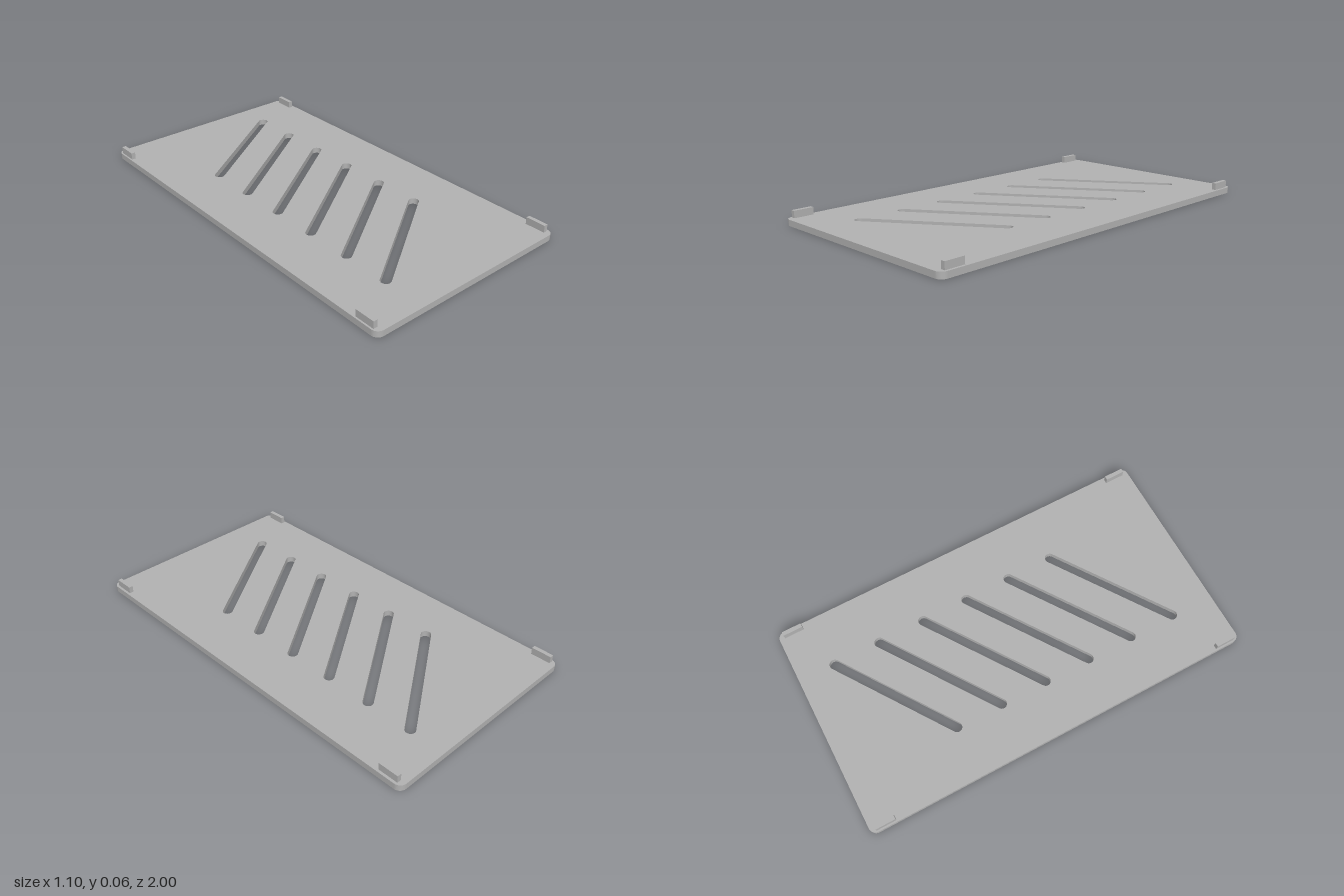
import * as THREE from 'three';

const HALF_W = 0.55, HALF_L = 1, THICK = 0.03, CORNER = 0.035;

// Rounded rectangle outline of the plate
function plateOutline() {
  const s = new THREE.Shape();
  const w = HALF_W - CORNER, l = HALF_L - CORNER;
  s.absarc(w, l, CORNER, 0, Math.PI / 2);
  s.absarc(-w, l, CORNER, Math.PI / 2, Math.PI);
  s.absarc(-w, -l, CORNER, Math.PI, Math.PI * 1.5);
  s.absarc(w, -l, CORNER, Math.PI * 1.5, Math.PI * 2);
  s.closePath();
  return s;
}

// Slanted slot with round ends, between two cap centres
function slot(a, b, r) {
  const dir = Math.atan2(b.y - a.y, b.x - a.x);
  const p = new THREE.Path();
  p.absarc(b.x, b.y, r, dir - Math.PI / 2, dir + Math.PI / 2);
  p.absarc(a.x, a.y, r, dir + Math.PI / 2, dir + Math.PI * 1.5);
  p.closePath();
  return p;
}

export function createModel() {
  const model = new THREE.Group();
  model.name = 'ventCover';
  const grey = new THREE.MeshStandardMaterial({ color: 0xb2b2b2 });
  grey.name = 'grey';

  // Plate with six slanted vents
  const outline = plateOutline();
  for (let i = 0; i < 6; i++) {
    const dz = i * 0.241;
    outline.holes.push(slot(
      new THREE.Vector2(-0.286, 0.43 - dz),
      new THREE.Vector2(0.276, 0.813 - dz), 0.025));
  }
  const plateGeo = new THREE.ExtrudeGeometry(outline, {
    depth: THICK, bevelEnabled: false, curveSegments: 8,
  });
  plateGeo.rotateX(-Math.PI / 2);
  const plate = new THREE.Mesh(plateGeo, grey);
  plate.name = 'plate';
  model.add(plate);

  // Upright clip tab near each corner
  const tabGeo = new THREE.BoxGeometry(0.021, 0.045, 0.1);
  for (const [x, side] of [[-0.531, 'right'], [0.527, 'left']]) {
    for (const [z, end] of [[-0.922, 'Back'], [0.92, 'Front']]) {
      const tab = new THREE.Mesh(tabGeo, grey);
      tab.name = side + end + 'Tab';
      tab.position.set(x, 0.0425, z);
      model.add(tab);
    }
  }
  return model;
}
